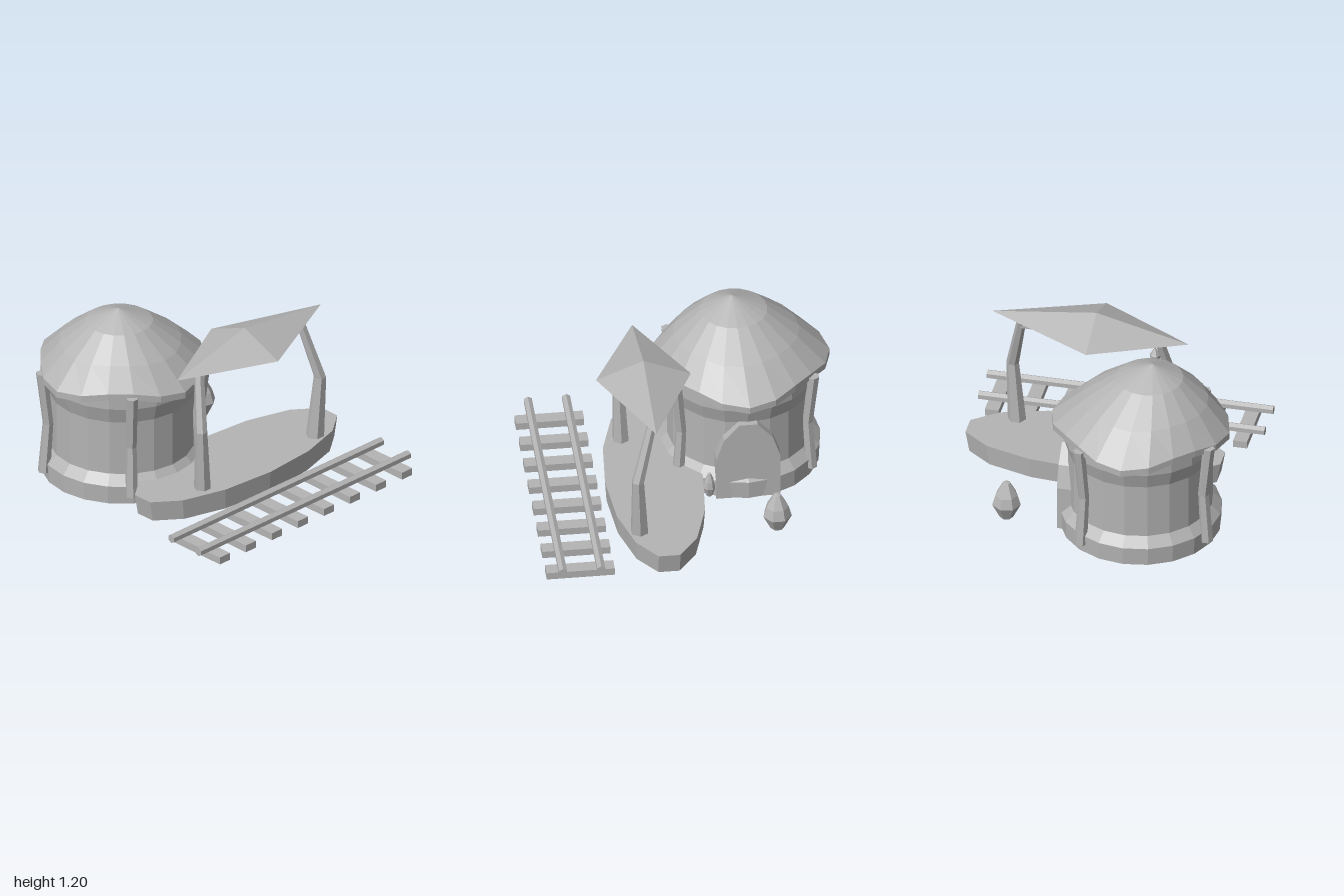
import * as THREE from 'three';

const grey = new THREE.MeshStandardMaterial({ color: 0xb4b4b4, flatShading: true, side: THREE.DoubleSide });
grey.name = 'plainGrey';

const HUT = { x: -0.41, z: 0.36 };

function part(parent, name, geometry, x = 0, y = 0, z = 0) {
  const mesh = new THREE.Mesh(geometry, grey);
  mesh.name = name;
  mesh.position.set(x, y, z);
  parent.add(mesh);
  return mesh;
}

const lathe = (points, sides) =>
  new THREE.LatheGeometry(points.map(([r, y]) => new THREE.Vector2(r, y)), sides);

// Post through a few stations [x, y, z, radius], with flat ends
function bentPost(stations, sides = 6) {
  const last = stations.length - 1;
  const g = new THREE.CylinderGeometry(1, 1, 1, sides, last);
  const p = g.attributes.position;
  for (let i = 0; i < p.count; i++) {
    const [x, y, z, r] = stations[Math.round((p.getY(i) + 0.5) * last)];
    p.setXYZ(i, x + p.getX(i) * r, y, z + p.getZ(i) * r);
  }
  g.computeVertexNormals();
  return g;
}

// Wavy roof whose crown leans off centre
function roofGeometry() {
  // radius, height, wave strength, lean
  const rings = [
    [0.49, 0.76, 0, 0], [0.56, 0.745, 1, 0], [0.56, 0.79, 1, 0],
    [0.405, 0.955, 0.25, 0.4], [0.22, 1.107, 0, 0.75], [0.001, 1.203, 0, 1],
  ];
  const g = lathe(rings, 20);
  const p = g.attributes.position;
  for (let i = 0; i < p.count; i++) {
    const [r, y, wave, lean] = rings[i % rings.length];
    const a = Math.atan2(p.getZ(i), p.getX(i));
    const c = Math.cos(4 * a) * wave;
    const rr = r + 0.031 * c;
    p.setXYZ(i, Math.cos(a) * rr + 0.04 * lean, y - 0.022 * c, Math.sin(a) * rr + 0.07 * lean);
  }
  g.computeVertexNormals();
  return g;
}

function makeHut() {
  const hut = new THREE.Group();
  hut.name = 'roundHut';
  hut.position.set(HUT.x, 0, HUT.z);
  part(hut, 'hutWall', lathe([
    [0.525, 0], [0.53, 0.125], [0.472, 0.19], [0.472, 0.57], [0.505, 0.68], [0.505, 0.77],
  ], 20));
  part(hut, 'hutRoof', roofGeometry());

  // Posts bow in towards the wall at mid height
  for (const [x, z] of [[0.42, 0.32], [-0.22, 0.49], [-0.435, -0.3], [0.435, -0.3]]) {
    part(hut, 'hutPost', bentPost([
      [x, 0.06, z, 0.042], [x * 0.95, 0.41, z * 0.95, 0.036], [x * 1.03, 0.785, z * 1.03, 0.04],
    ]));
  }

  // Arched door block at the back
  const arch = new THREE.Shape();
  const half = [[0.21, 0], [0.21, 0.31], [0.16, 0.46], [0.06, 0.575]];
  const outline = [...half, ...half.map(([x, y]) => [-x, y]).reverse()];
  arch.setFromPoints(outline.map(([x, y]) => new THREE.Vector2(x, y)));
  part(hut, 'archedDoor', new THREE.ExtrudeGeometry(arch, { depth: 0.1, bevelEnabled: false }), 0, 0, -0.51);
  return hut;
}

// Shallow diamond canopy: four corners joined to a peak and a lower point
function canopyGeometry() {
  const corners = [[0.58, 0.98, -0.09], [0.27, 0.95, 0.525], [-0.04, 0.98, -0.09], [0.27, 1.02, -0.78]];
  const peak = [0.27, 1.107, -0.09], low = [0.27, 0.915, -0.09];
  const tris = [];
  corners.forEach((a, i) => {
    const b = corners[(i + 1) % 4];
    tris.push(...b, ...a, ...peak, ...a, ...b, ...low);
  });
  const g = new THREE.BufferGeometry();
  g.setAttribute('position', new THREE.Float32BufferAttribute(tris, 3));
  g.computeVertexNormals();
  return g;
}

function makeStation() {
  const station = new THREE.Group();
  station.name = 'station';

  // Oval platform, open underneath
  const deck = lathe([[0.97, 0], [1, 0.145], [0, 0.145]], 14);
  deck.rotateY(Math.PI / 14);
  deck.scale(0.32, 1, 0.87);
  part(station, 'platform', deck, 0.2, 0, -0.08);

  // Kneed posts carrying the canopy
  part(station, 'canopyPost', bentPost([
    [0.36, 0.1, 0.38, 0.058], [0.375, 0.57, 0.405, 0.04], [0.275, 0.94, 0.33, 0.034],
  ]));
  part(station, 'canopyPost', bentPost([
    [0.36, 0.1, -0.635, 0.063], [0.375, 0.57, -0.67, 0.042], [0.275, 0.96, -0.59, 0.032],
  ]));
  const beam = new THREE.CylinderGeometry(0.02, 0.02, 0.93, 6);
  beam.rotateX(Math.PI / 2);
  part(station, 'canopyBeam', beam, 0.27, 0.935, -0.13);
  part(station, 'canopy', canopyGeometry());

  // Hanging lantern
  part(station, 'lantern', lathe([[0, 0.79], [0.026, 0.795], [0.036, 0.85], [0.008, 0.9], [0.008, 0.93], [0, 0.93]], 6), 0.252, 0, 0.305);
  return station;
}

function makeTrack() {
  const track = new THREE.Group();
  track.name = 'track';
  for (let i = 0; i < 8; i++) {
    part(track, 'sleeper', new THREE.BoxGeometry(0.445, 0.05, 0.092), 0.777, 0.025, -0.85 + i * 0.236);
  }
  for (const x of [0.65, 0.9]) {
    const rail = new THREE.CylinderGeometry(0.03, 0.03, 1.904, 6);
    rail.rotateX(Math.PI / 2);
    part(track, 'rail', rail, x, 0.09, -0.005);
  }
  return track;
}

export function createModel() {
  const model = new THREE.Group();
  model.name = 'trackSideHut';
  model.add(makeHut(), makeStation(), makeTrack());

  // Bulb-shaped bushes behind the hut
  const bush = lathe([[0, 0], [0.045, 0], [0.095, 0.1], [0.075, 0.17], [0.025, 0.26], [0, 0.265]], 7);
  part(model, 'bush', bush, -0.555, 0, -0.5);
  part(model, 'smallBush', bush, -0.16, 0, -0.1).scale.set(0.45, 0.66, 0.45);
  return model;
}
